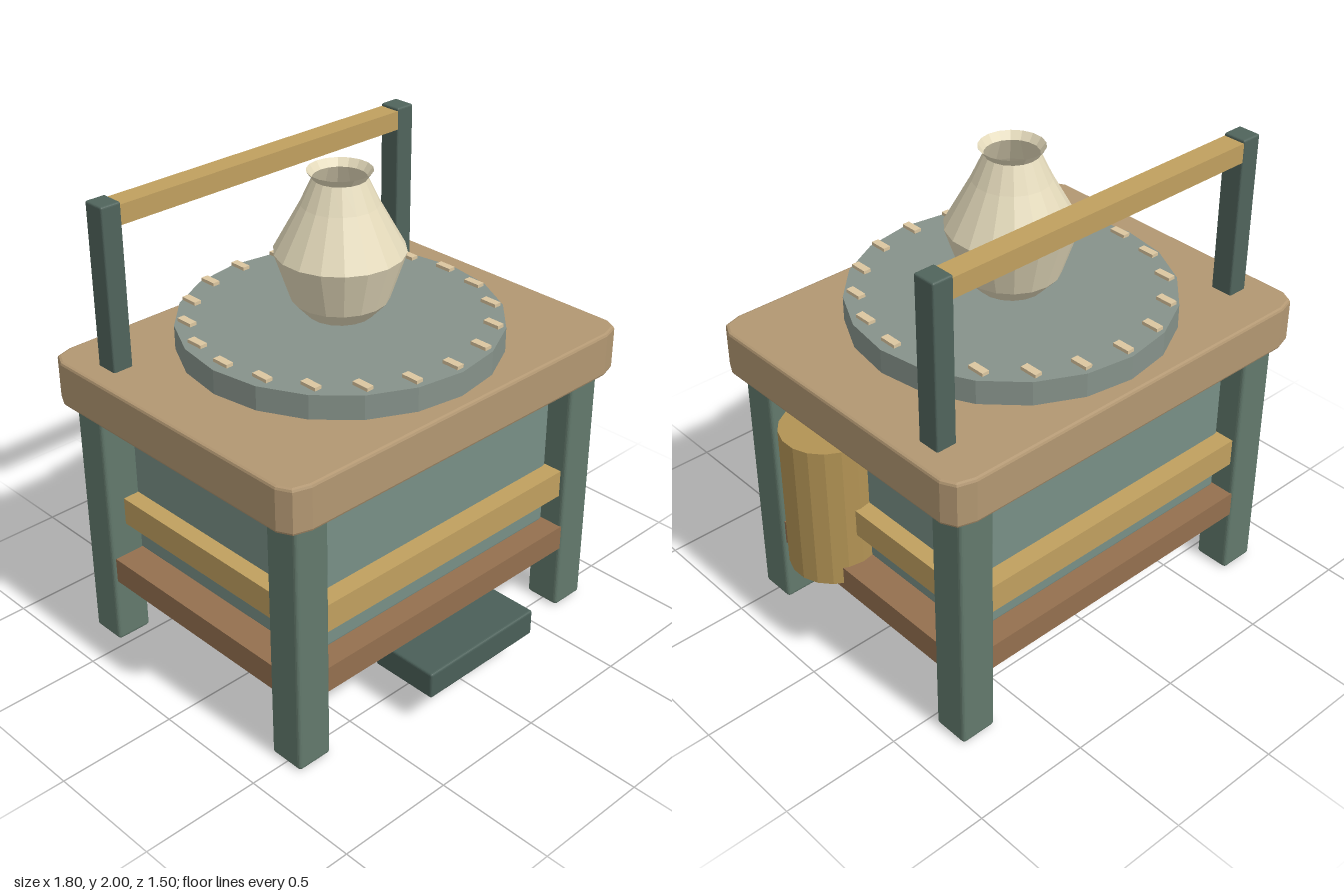
import * as THREE from 'three';
import { RoundedBoxGeometry } from 'three/addons/geometries/RoundedBoxGeometry.js';

const mat = (color, side = THREE.FrontSide) =>
  new THREE.MeshStandardMaterial({ color, flatShading: true, side });

const COLORS = {
  top: mat(0xb29772), leg: mat(0x62796c), panel: mat(0x788f86), rail: mat(0xc0a05f),
  shelf: mat(0x94704f), pedal: mat(0x4a5f58), disc: mat(0x86928a), marker: mat(0xdcc6a0),
  vase: mat(0xe4dabb, THREE.DoubleSide), barrel: mat(0xb29354), post: mat(0x50645c),
};

export function createModel() {
  const model = new THREE.Group();
  model.name = 'potteryTable';
  const body = new THREE.Group();
  body.name = 'tableAssembly';
  body.position.set(-0.01, 0, -0.057);
  model.add(body);

  const add = (name, geometry, material, x, y, z) => {
    const mesh = new THREE.Mesh(geometry, material);
    mesh.name = name;
    mesh.position.set(x, y, z);
    body.add(mesh);
    return mesh;
  };
  // Box given by its size, bottom height and plan centre; r > 0 softens the edges
  const box = (name, material, w, h, d, x, y, z, r = 0) =>
    add(name, r ? new RoundedBoxGeometry(w, h, d, 2, r) : new THREE.BoxGeometry(w, h, d),
      material, x, y + h / 2, z);

  // Table top: slab with cut corners and a small bevel
  const bevel = 0.012, hx = 0.894 - bevel, hz = 0.692 - bevel;
  const corner = [[0, 0.07], [0.025, 0.02], [0.09, 0]];
  const outline = [];
  for (const [sx, sy] of [[-1, -1], [1, -1], [1, 1], [-1, 1]]) {
    const pts = corner.map(([a, b]) => new THREE.Vector2(sx * (hx - a), sy * (hz - b)));
    outline.push(...(sx * sy > 0 ? pts : pts.reverse()));
  }
  const slab = new THREE.ExtrudeGeometry(new THREE.Shape(outline), {
    depth: 0.19 - 2 * bevel, bevelSize: bevel, bevelThickness: bevel, bevelSegments: 2,
  });
  slab.rotateX(-Math.PI / 2);
  add('tableTop', slab, COLORS.top, 0, 1.1 + bevel, 0);

  // Four legs
  for (const sx of [-1, 1]) for (const sz of [-1, 1])
    box('leg', COLORS.leg, 0.158, 1.11, 0.158, sx * 0.745, 0, sz * 0.556, 0.016);

  // Inner cabinet and bottom shelf
  box('cabinet', COLORS.panel, 1.35, 0.74, 1.06, 0, 0.38, 0, 0.03);
  box('shelf', COLORS.shelf, 1.62, 0.11, 1.26, 0, 0.295, 0);

  // Rails on all four sides
  for (const s of [-1, 1]) {
    box('longRail', COLORS.rail, 1.4, 0.12, 0.085, 0, 0.55, s * 0.567);
    box('sideRail', COLORS.rail, 0.085, 0.12, 1.02, s * 0.705, 0.55, 0);
  }

  // Barrel on the left side
  add('barrel', new THREE.CylinderGeometry(0.187, 0.187, 0.64, 18), COLORS.barrel, 0.725, 0.648, 0.254);

  // Foot pedal
  box('pedal', COLORS.pedal, 0.59, 0.115, 0.3, 0, 0.145, 0.654, 0.01);

  // Turning wheel with markers around the rim
  add('wheel', new THREE.CylinderGeometry(0.643, 0.643, 0.1, 20), COLORS.disc, 0, 1.35, 0);
  for (let i = 0; i < 20; i++) {
    const a = (i / 20) * Math.PI * 2;
    box('rimMarker', COLORS.marker, 0.032, 0.014, 0.075, Math.sin(a) * 0.593, 1.408, Math.cos(a) * 0.593);
  }

  // Open vase
  const profile = [[0.132, 1.42], [0.192, 1.485], [0.257, 1.68], [0.152, 1.87], [0.105, 1.97], [0.127, 2.0]]
    .map(([r, y]) => new THREE.Vector2(r, y));
  add('vase', new THREE.LatheGeometry(profile, 18), COLORS.vase, 0, 0, 0);

  // Rear posts and crossbar
  for (const s of [-1, 1])
    box('rearPost', COLORS.post, 0.088, 0.68, 0.098, s * 0.755, 1.28, -0.445, 0.008);
  box('crossbar', COLORS.rail, 1.46, 0.08, 0.093, 0, 1.868, -0.445);

  return model;
}
